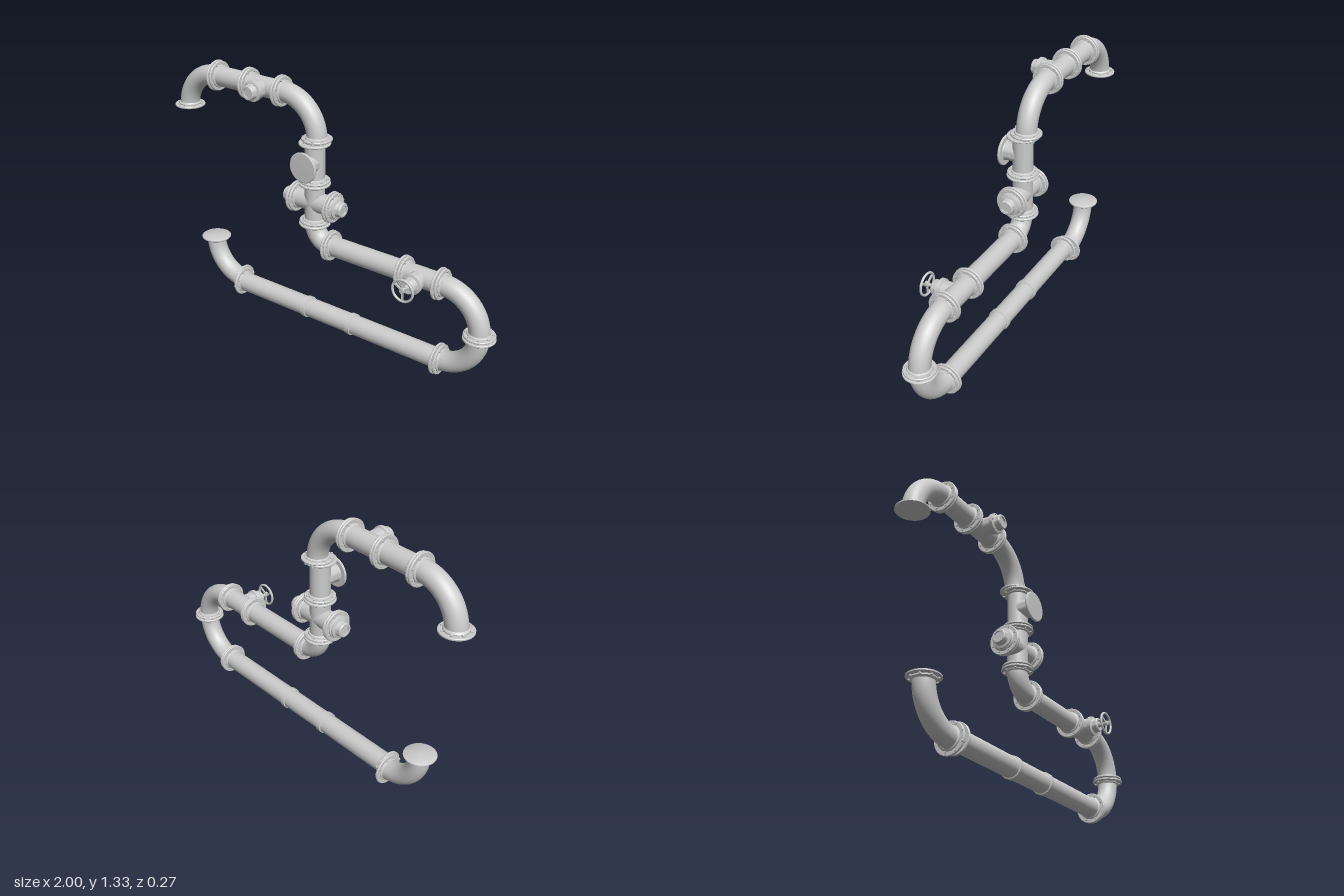
import * as THREE from 'three';
import { toCreasedNormals } from 'three/addons/utils/BufferGeometryUtils.js';

const R = 0.052;              // pipe radius
const ZF = -0.042, ZB = -0.06; // depth of the main run and of the offset end runs
const FR = 0.081;             // flange radius
const material = new THREE.MeshStandardMaterial({ color: 0xcccccc, side: THREE.DoubleSide });
const AXES = {
  x: new THREE.Vector3(1, 0, 0), y: new THREE.Vector3(0, 1, 0), z: new THREE.Vector3(0, 0, 1),
  '-x': new THREE.Vector3(-1, 0, 0), '-y': new THREE.Vector3(0, -1, 0),
};

export function createModel() {
  const model = new THREE.Group();
  model.name = 'pipework';

  const mesh = (name, geometry, parent = model) => {
    const m = new THREE.Mesh(geometry, material);
    m.name = name;
    parent.add(m);
    return m;
  };
  // Group whose local +y points along the given axis
  const along = (name, axis, x, y, z) => {
    const g = new THREE.Group();
    g.name = name;
    g.position.set(x, y, z);
    g.quaternion.setFromUnitVectors(AXES.y, AXES[axis]);
    model.add(g);
    return g;
  };
  // Turned part from [radius, height] pairs
  const turned = (name, profile, parent, sides = 32) => {
    const points = profile.map(([r, h]) => new THREE.Vector2(r, h));
    return mesh(name, toCreasedNormals(new THREE.LatheGeometry(points, sides), 0.6), parent);
  };
  const pipe = (name, axis, x, y, z, length, r = R) =>
    mesh(name, new THREE.CylinderGeometry(r, r, length, 32, 1, true), along(name, axis, x, y, z));
  const runX = (name, x0, x1, y, z) => pipe(name, 'x', (x0 + x1) / 2, y, z, x1 - x0);
  const runY = (name, y0, y1, x, z) => pipe(name, 'y', x, (y0 + y1) / 2, z, y1 - y0);

  // Quarter bend, starting at a number of quarter turns
  const elbow = (x, y, z, bend, quarter) => {
    const m = mesh('elbow', new THREE.TorusGeometry(bend, R, 28, 20, Math.PI / 2));
    m.position.set(x, y, z);
    m.rotation.z = quarter * Math.PI / 2;
  };

  const bolts = (g, length, h = 0, dz = 0) => {
    for (let i = 0; i < 8; i++) {
      const a = (i + 0.5) * Math.PI / 4;
      const b = mesh('bolt', new THREE.CylinderGeometry(0.006, 0.006, length, 6).toNonIndexed(), g);
      b.geometry.computeVertexNormals();
      b.position.set(Math.cos(a) * 0.066, h, Math.sin(a) * 0.066 + dz);
    }
  };
  const plate = (h, r = FR) => [
    [0, h - 0.006], [r - 0.003, h - 0.006], [r, h - 0.003],
    [r, h + 0.003], [r - 0.003, h + 0.006], [0, h + 0.006]];

  // Bolted pair of flange plates, each following the depth of its own pipe
  const flange = (axis, x, y, zLow, zHigh = zLow) => {
    const g = along('flange', axis, x, y, (zLow + zHigh) / 2);
    const shift = (zHigh - zLow) / 2;
    turned('flangePlate', plate(-0.0085), g).position.z = -shift;
    turned('flangePlate', plate(0.0085, FR - 0.003), g).position.z = shift;
    for (const s of [-1, 1]) {
      const collar = turned('flangeCollar', [[R, s * 0.024], [R + 0.007, s * 0.02], [R + 0.009, s * 0.012]], g);
      collar.position.z = s * shift;
    }
    turned('gasket', [[0.062, -0.004], [0.062, 0.004]], g);
    bolts(g, 0.04);
  };

  // Closed plate on an open pipe end, facing along the axis
  const endFlange = (axis, x, y, z) => {
    const g = along('endFlange', axis, x, y, z);
    turned('endPlate', [[0, 0.001], [FR - 0.003, 0.001], [FR, 0.004], [FR, 0.01], [FR - 0.006, 0.014], [0, 0.016]], g);
    turned('endCollar', [[R, -0.014], [R + 0.008, -0.006], [R + 0.008, 0.001]], g);
    bolts(g, 0.01, -0.001);
  };

  // Stepped outlet cap; its base lies on the pipe axis
  const outlet = (name, axis, x, y, z, start) => {
    const g = along(name, axis, x, y, z);
    const s = start;
    turned('outletCap', [[0.046, 0], [0.046, s], [0.053, s + 0.003], [0.053, s + 0.02],
      [0.04, s + 0.024], [0.038, s + 0.028], [0.038, s + 0.05], [0.034, s + 0.055],
      [0.025, s + 0.055], [0.025, s + 0.046], [0, s + 0.046]], g);
    return g;
  };

  // Upper run, with a tee outlet in its middle
  endFlange('-y', -0.92, 1.063, ZB);
  elbow(-0.715, 1.05, ZB, 0.205, 1);
  runX('upperPipe', -0.715, -0.26, 1.255, ZB);
  for (const x of [-0.7, -0.487, -0.275]) flange('x', x, 1.255, ZB);
  const upperOutlet = outlet('upperOutlet', 'z', -0.385, 1.255, ZB, 0.08);
  for (let i = 0; i < 6; i++) {
    const a = i * Math.PI / 3;
    const b = mesh('outletBolt', new THREE.CylinderGeometry(0.004, 0.004, 0.008, 6), upperOutlet);
    b.position.set(Math.cos(a) * 0.046, 0.104, Math.sin(a) * 0.046);
  }
  elbow(-0.26, 1.05, ZB, 0.205, 0);

  // Middle column with a blanked branch at the front
  flange('y', -0.055, 1.045, ZF, ZB);
  runY('columnPipe', 0.6, 1.045, -0.055, ZF);
  const branch = along('blankedBranch', 'z', -0.055, 0.936, ZF);
  turned('branchNeck', [[0.048, 0], [0.048, 0.085], [0.054, 0.092]], branch);
  turned('blankPlate', [[0, 0.09], [0.076, 0.09], [0.079, 0.093], [0.079, 0.1], [0.075, 0.103], [0, 0.105]], branch);
  flange('y', -0.055, 0.83, ZF);

  // Cross fitting with a capped flange on each side
  runX('crossPipe', -0.17, 0.06, 0.72, ZF);
  for (const s of [-1, 1]) {
    flange('x', -0.055 + s * 0.115, 0.72, ZF);
    outlet('crossOutlet', s > 0 ? 'x' : '-x', -0.055, 0.72, ZF, 0.126);
  }
  flange('y', -0.055, 0.61, ZF);
  elbow(0.045, 0.602, ZF, 0.1, 2);

  // Middle run with a handwheel valve
  runX('middlePipe', 0.045, 0.71, 0.502, ZF);
  for (const x of [0.05, 0.49, 0.695]) flange('x', x, 0.502, ZF);
  const valve = outlet('valve', 'z', 0.585, 0.502, ZF, 0.072);
  turned('stem', [[0, 0.1], [0.014, 0.1], [0.014, 0.136], [0.008, 0.14], [0.008, 0.174], [0, 0.174]], valve, 16);
  const wheel = new THREE.Group();
  wheel.name = 'handwheel';
  wheel.position.y = 0.165;
  valve.add(wheel);
  mesh('wheelRim', new THREE.TorusGeometry(0.056, 0.0065, 10, 36).rotateX(Math.PI / 2), wheel);
  mesh('wheelHub', new THREE.CylinderGeometry(0.014, 0.014, 0.016, 16), wheel);
  for (let i = 0; i < 3; i++) {
    const spoke = mesh('wheelSpoke', new THREE.BoxGeometry(0.01, 0.007, 0.056).translate(0, 0, 0.028), wheel);
    spoke.rotation.y = i * Math.PI * 2 / 3;
  }

  // Right-hand return bend in two quarters
  elbow(0.71, 0.297, ZF, 0.205, 0);
  flange('y', 0.915, 0.295, ZF);
  elbow(0.71, 0.29, ZF, 0.205, 3);

  // Lower run with two couplings, and the upturned left end
  runX('lowerPipe', -0.57, 0.71, 0.085, ZF);
  flange('x', 0.71, 0.085, ZF);
  for (const x of [-0.1, 0.19]) {
    turned('coupling', [[R, -0.014], [0.058, -0.012], [0.058, 0.012], [R, 0.014]], along('coupling', 'x', x, 0.085, ZF));
  }
  flange('x', -0.567, 0.085, ZB, ZF);
  elbow(-0.57, 0.292, ZB, 0.205, 2);
  endFlange('y', -0.775, 0.292, ZB);

  return model;
}
